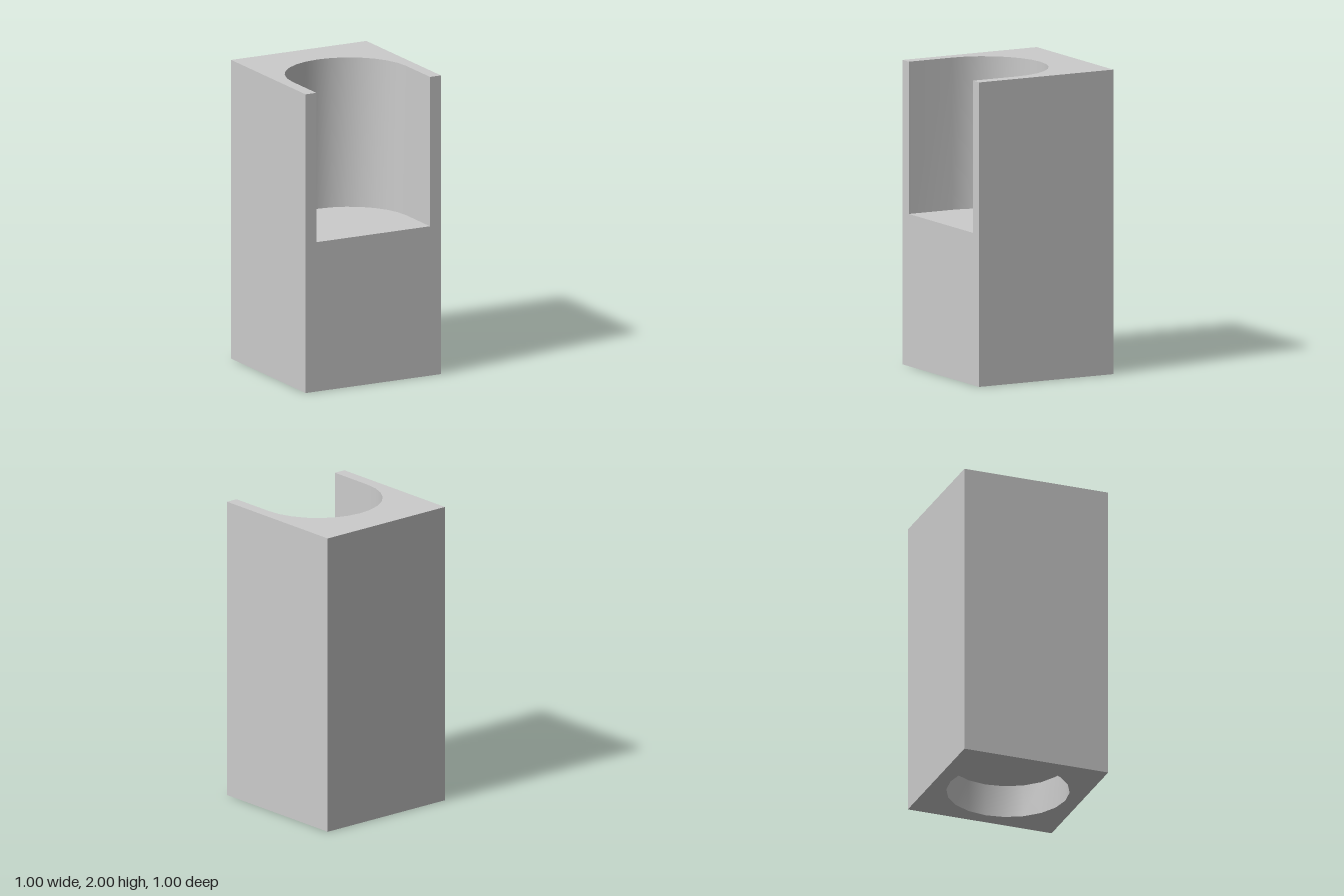
import * as THREE from 'three';
import { toCreasedNormals } from 'three/addons/utils/BufferGeometryUtils.js';

const material = new THREE.MeshStandardMaterial({ color: 0xcccccc });
const HALF = 0.5, TOP = 2, FLOOR = 1, POCKET_R = 0.42, POCKET_Z = 0.18, BORE_R = 0.4, BORE_DEPTH = 0.22;

// Points [x, z] on an arc running clockwise as seen from above
function arc(radius, cz, start, end, steps) {
  return Array.from({ length: steps + 1 }, (_, i) => {
    const t = start + (end - start) * i / steps;
    return [radius * Math.cos(t), cz - radius * Math.sin(t)];
  });
}

// Vertical wall along a path of [x, z] points
function wall(path, y0, y1) {
  const positions = path.flatMap(([x, z]) => [x, y0, z, x, y1, z]);
  const index = [];
  for (let i = 0; i < path.length - 1; i++) {
    const a = 2 * i;
    index.push(a, a + 2, a + 3, a, a + 3, a + 1);
  }
  const geometry = new THREE.BufferGeometry();
  geometry.setAttribute('position', new THREE.Float32BufferAttribute(positions, 3));
  geometry.setIndex(index);
  geometry.computeVertexNormals();
  return toCreasedNormals(geometry, 0.5);
}

// Horizontal face outlined by [x, z] points; dir is 1 facing up, -1 facing down
function face(outline, y, dir, hole) {
  const toPoints = (pts) => pts.map(([x, z]) => new THREE.Vector2(x, -dir * z));
  const shape = new THREE.Shape(toPoints(outline));
  if (hole) shape.holes.push(new THREE.Path(toPoints(hole)));
  return new THREE.ShapeGeometry(shape).rotateX(-dir * Math.PI / 2).translate(0, y, 0);
}

export function createModel() {
  const group = new THREE.Group();
  group.name = 'pocketedBlock';
  const add = (name, geometry) => {
    const mesh = new THREE.Mesh(geometry, material);
    mesh.name = name;
    group.add(mesh);
  };

  const sides = [[HALF, HALF], [HALF, -HALF], [-HALF, -HALF], [-HALF, HALF]];
  const pocket = [
    [-POCKET_R, HALF],
    ...arc(POCKET_R, POCKET_Z, Math.PI, 0, 14),
    [POCKET_R, HALF],
  ];
  const bore = arc(BORE_R, 0, Math.PI, -Math.PI, 20);
  const boreRim = bore.slice(0, -1);

  // Outer block: side and back walls, notched front
  add('sideAndBackWalls', wall(sides, 0, TOP));
  const front = new THREE.Shape([
    [-HALF, 0], [HALF, 0], [HALF, TOP], [POCKET_R, TOP],
    [POCKET_R, FLOOR], [-POCKET_R, FLOOR], [-POCKET_R, TOP], [-HALF, TOP],
  ].map(([x, y]) => new THREE.Vector2(x, y)));
  add('frontFace', new THREE.ShapeGeometry(front).translate(0, 0, HALF));

  // Upper pocket, open to the front and the top
  add('topRim', face([...pocket, ...sides], TOP, 1));
  add('pocketWall', wall(pocket, FLOOR, TOP));
  add('pocketFloor', face(pocket, FLOOR, 1));

  // Round blind bore in the underside
  add('underside', face(sides, 0, -1, boreRim));
  add('boreWall', wall(bore, 0, BORE_DEPTH));
  add('boreCeiling', face(boreRim, BORE_DEPTH, -1));

  return group;
}
